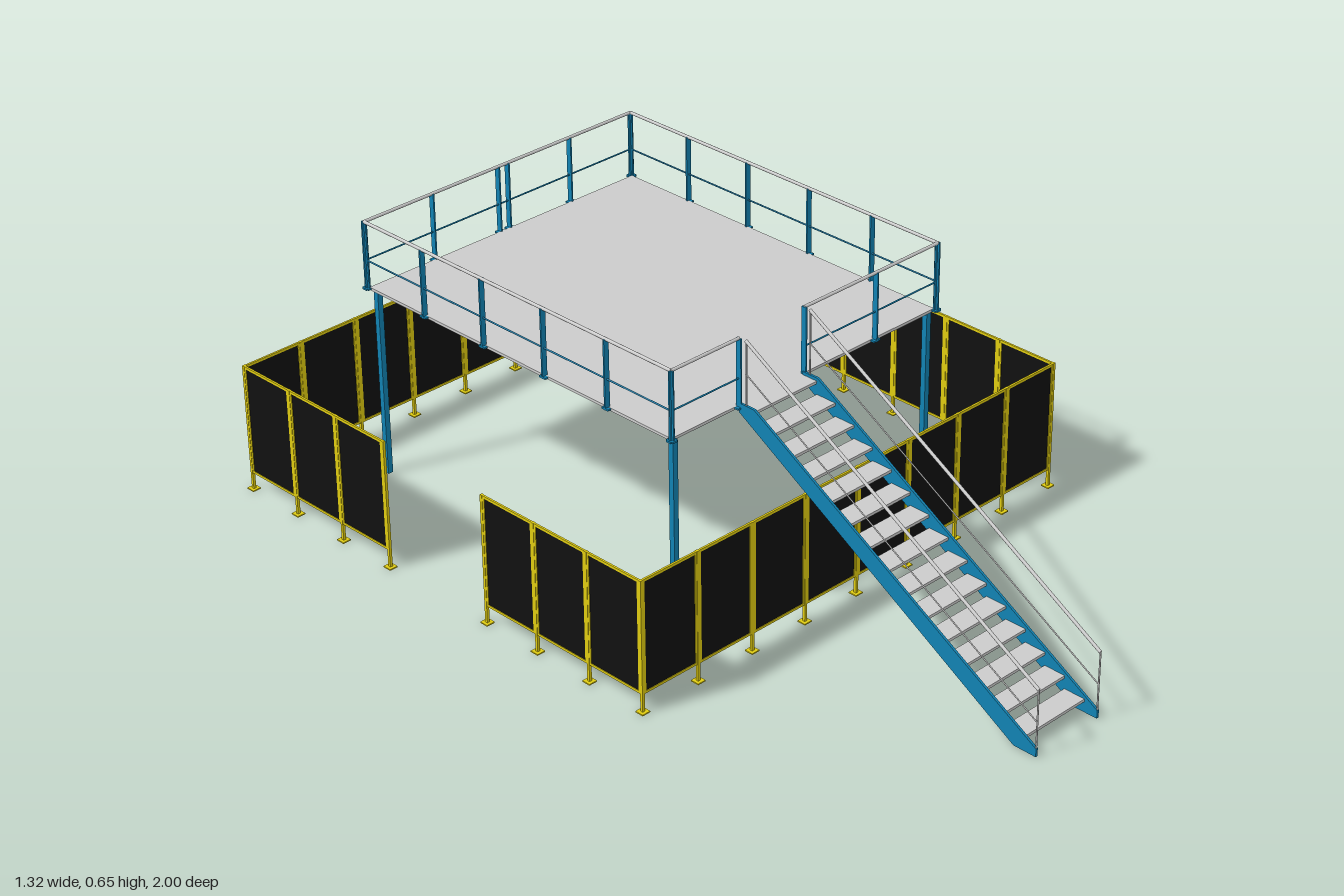
import * as THREE from 'three';

const mat = (color) => new THREE.MeshStandardMaterial({ color });
const grey = mat(0xcccccc), blue = mat(0x1283b3), yellow = mat(0xe0cc10), black = mat(0x101010);

function box(parent, name, material, size, pos) {
  const mesh = new THREE.Mesh(new THREE.BoxGeometry(...size), material);
  mesh.name = name;
  mesh.position.set(...pos);
  parent.add(mesh);
  return mesh;
}

// Straight round bar between two points
function bar(parent, name, material, a, b, radius) {
  const start = new THREE.Vector3(...a), end = new THREE.Vector3(...b);
  const dir = end.clone().sub(start);
  const mesh = new THREE.Mesh(new THREE.CylinderGeometry(radius, radius, dir.length(), 10), material);
  mesh.name = name;
  mesh.position.copy(start).add(end).multiplyScalar(0.5);
  mesh.quaternion.setFromUnitVectors(new THREE.Vector3(0, 1, 0), dir.normalize());
  parent.add(mesh);
}

function group(parent, name) {
  const g = new THREE.Group();
  g.name = name;
  parent.add(g);
  return g;
}

// Run of framed fence panels along local x, starting at the origin
const BAY = 0.1625;
function fenceRun(parent, name, bays, skip = []) {
  const run = group(parent, name);
  const low = 0.045, high = 0.325, mid = (low + high) / 2, h = high - low;
  for (let i = 0; i < bays; i++) {
    if (skip.includes(i)) continue;
    const x = (i + 0.5) * BAY;
    box(run, 'fencePanel', black, [BAY - 0.016, h - 0.01, 0.002], [x, mid, 0]);
    for (const y of [low + 0.003, high - 0.003])
      box(run, 'panelFrameRail', yellow, [BAY - 0.006, 0.006, 0.005], [x, y, 0]);
    for (const s of [-1, 1])
      box(run, 'panelFrameStile', yellow, [0.006, h, 0.005], [x + s * (BAY / 2 - 0.006), mid, 0]);
  }
  for (let i = 0; i <= bays; i++) {
    const gone = (k) => k < 0 || k >= bays || skip.includes(k);
    if (gone(i - 1) && gone(i)) continue;
    box(run, 'fencePost', yellow, [0.007, high, 0.007], [i * BAY, high / 2, 0]);
    box(run, 'fenceFoot', yellow, [0.022, 0.003, 0.022], [i * BAY, 0.0015, 0]);
  }
  return run;
}

// Guard rail between two deck corners; posts are flat bars at the given fractions
const DECK = 0.485, TOP = 0.651;
function guardRail(parent, name, a, b, fractions) {
  const rail = group(parent, name);
  const alongX = Math.abs(b[0] - a[0]) > Math.abs(b[1] - a[1]);
  bar(rail, 'topRail', grey, [a[0], TOP, a[1]], [b[0], TOP, b[1]], 0.004);
  bar(rail, 'middleRail', blue, [a[0], 0.555, a[1]], [b[0], 0.555, b[1]], 0.002);
  for (const t of fractions) {
    const x = a[0] + (b[0] - a[0]) * t, z = a[1] + (b[1] - a[1]) * t;
    box(rail, 'railPost', blue, alongX ? [0.004, 0.17, 0.014] : [0.014, 0.17, 0.004], [x, 0.566, z]);
    box(rail, 'postFoot', blue, alongX ? [0.02, 0.004, 0.014] : [0.014, 0.004, 0.02], [x, 0.484, z]);
  }
}

export function createModel() {
  const model = new THREE.Group();
  model.name = 'fencedPlatform';

  // Deck and legs
  const platform = group(model, 'platform');
  const L = -0.397, R = 0.428, F = 0.145, B = -0.843;
  box(platform, 'deck', grey, [R - L - 0.004, 0.007, F - B - 0.008], [(L + R) / 2, DECK - 0.002, (F + B) / 2]);
  for (const x of [-0.381, 0.412])
    for (const z of [0.132, -0.827])
      box(platform, 'leg', blue, [0.014, 0.482, 0.014], [x, 0.241, z]);

  // Guard rails, open at the head of the stairs
  const rails = group(model, 'guardRails');
  const fifths = [0, 0.2, 0.4, 0.6, 0.8, 1];
  guardRail(rails, 'leftGuardRail', [R, F], [R, B], fifths);
  guardRail(rails, 'rightGuardRail', [L, F], [L, B], fifths);
  guardRail(rails, 'backGuardRailRight', [L, B], [0.004, B], [0, 0.5, 1]);
  guardRail(rails, 'backGuardRailLeft', [0.004, B], [R, B], [0.07, 0.53, 1]);
  guardRail(rails, 'frontGuardRailRight', [L, F], [-0.197, F], [0, 1]);
  guardRail(rails, 'frontGuardRailLeft', [0.002, F], [R, F], [0, 0.53, 1]);

  // Stairs: stringers are side profiles in (z, y)
  const stairs = group(model, 'stairs');
  const profile = new THREE.Shape([
    [1, 0], [1, 0.02], [0.19, 0.495], [0.145, 0.495], [0.145, 0.473], [0.94, 0],
  ].map(([z, y]) => new THREE.Vector2(-z, y)));
  const stringer = new THREE.ExtrudeGeometry(profile, { depth: 0.006, bevelEnabled: false });
  stringer.rotateY(Math.PI / 2);
  for (const x of [-0.198, -0.003]) {
    const mesh = new THREE.Mesh(stringer, blue);
    mesh.name = 'stringer';
    mesh.position.x = x;
    stairs.add(mesh);
    // Handrail above each stringer
    const c = x + 0.003;
    bar(stairs, 'handrail', grey, [c, 0.163, 0.998], [c, 0.651, 0.163], 0.004);
    bar(stairs, 'handrailMiddleBar', grey, [c, 0.083, 0.998], [c, 0.571, 0.163], 0.0016);
    bar(stairs, 'handrailPost', grey, [c, 0.01, 0.998], [c, 0.163, 0.998], 0.002);
    bar(stairs, 'handrailPost', grey, [c, 0.485, 0.165], [c, 0.651, 0.165], 0.002);
  }
  for (let i = 0; i < 15; i++)
    box(stairs, 'tread', grey, [0.19, 0.007, 0.055], [-0.097, 0.029 + 0.0325 * i, 0.9375 - 0.0555 * i]);

  // Perimeter fence with an entrance gap on the right side
  const fence = group(model, 'fence');
  fenceRun(fence, 'frontFence', 8).position.set(-0.65, 0, 0.31);
  fenceRun(fence, 'backFence', 8).position.set(-0.65, 0, -0.99);
  const sides = [['rightFence', -0.65, [3, 4]], ['leftFence', 0.65, []]];
  for (const [name, x, skip] of sides) {
    const run = fenceRun(fence, name, 8, skip);
    run.rotation.y = -Math.PI / 2;
    run.position.set(x, 0, -0.99);
  }
  return model;
}
